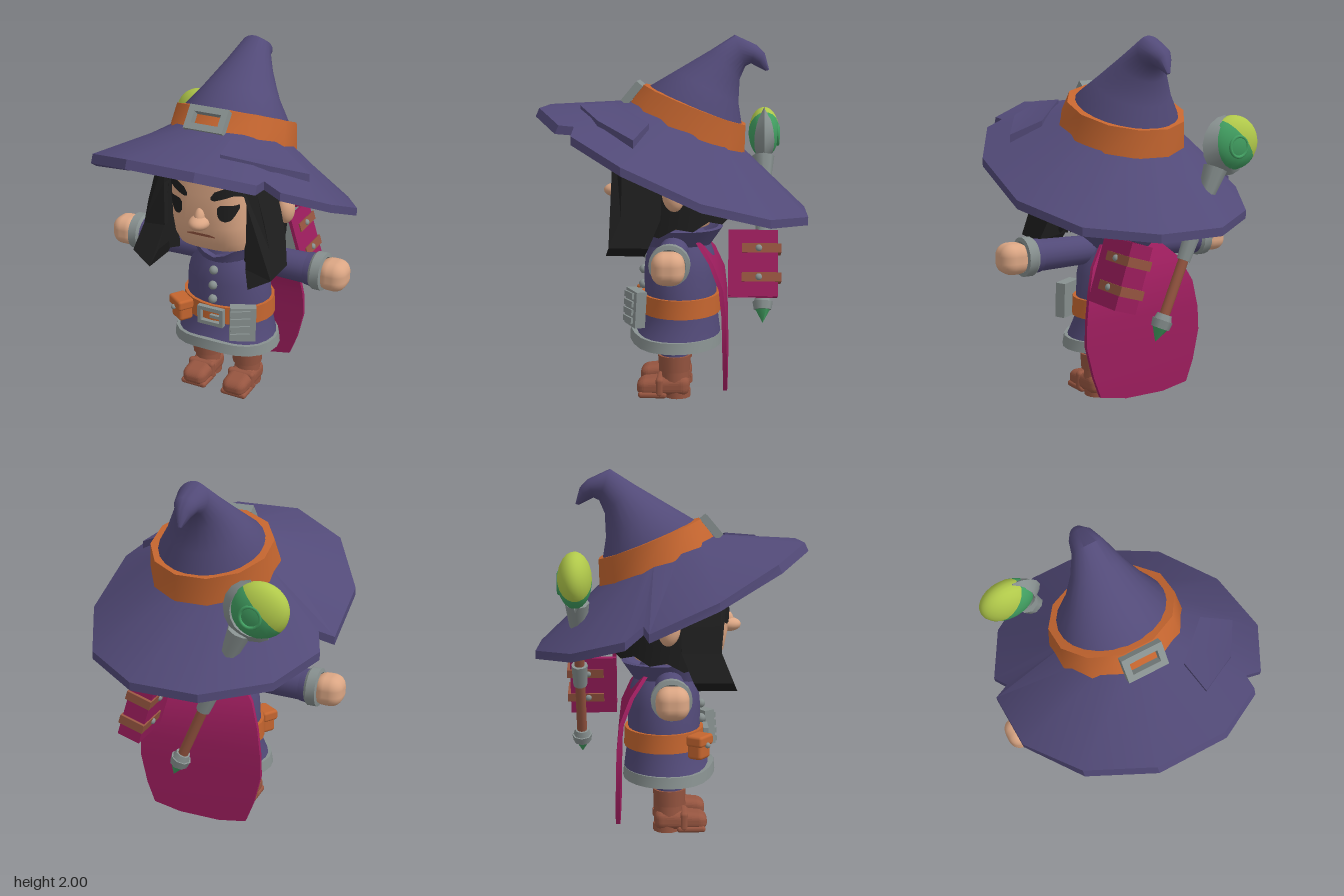
import * as THREE from 'three';
import { toCreasedNormals } from 'three/addons/utils/BufferGeometryUtils.js';
import { RoundedBoxGeometry } from 'three/addons/geometries/RoundedBoxGeometry.js';

const mat = (name, color, side = THREE.FrontSide) => {
  const m = new THREE.MeshStandardMaterial({ color, side });
  m.name = name;
  return m;
};
const V = (x, y, z) => new THREE.Vector3(x, y, z);

// Piecewise-linear lookup in a table of [key, value...] rows with rising keys
function lookup(table, k, col = 1) {
  if (k <= table[0][0]) return table[0][col];
  for (let i = 1; i < table.length; i++) {
    const a = table[i - 1], b = table[i];
    if (k <= b[0]) return a[col] + (b[col] - a[col]) * (k - a[0]) / (b[0] - a[0]);
  }
  return table[table.length - 1][col];
}

// Surface through closed loops of equal length, from bottom to top
function skin(loops, { caps = true, wrap = false, crease = 0.6 } = {}) {
  const pos = [], idx = [], n = loops[0].length, rows = loops.length;
  loops.forEach(l => l.forEach(p => pos.push(p.x, p.y, p.z)));
  for (let i = 0; i < (wrap ? rows : rows - 1); i++) for (let j = 0; j < n; j++) {
    const k = (j + 1) % n, r = i * n, q = ((i + 1) % rows) * n;
    idx.push(r + j, r + k, q + k, r + j, q + k, q + j);
  }
  if (caps && !wrap) [0, rows - 1].forEach(i => {
    const c = loops[i].reduce((s, p) => s.add(p), V(0, 0, 0)).divideScalar(n);
    const ci = pos.length / 3;
    pos.push(c.x, c.y, c.z);
    for (let j = 0; j < n; j++) {
      const a = i * n + j, b = i * n + (j + 1) % n;
      idx.push(ci, ...(i ? [a, b] : [b, a]));
    }
  });
  const g = new THREE.BufferGeometry();
  g.setAttribute('position', new THREE.Float32BufferAttribute(pos, 3));
  g.setIndex(idx);
  return toCreasedNormals(g, crease);
}

// Horizontal rings given as [y, rx, rz, cz]
const spow = (v, e) => Math.sign(v) * Math.abs(v) ** (2 / e);
const rings = (rows, n = 24, e = 2, dy = () => 0) => rows.map(([y, rx, rz, cz]) =>
  Array.from({ length: n }, (_, j) => {
    const a = j / n * Math.PI * 2;
    return V(rx * spow(Math.sin(a), e), y + dy(a), cz + rz * spow(Math.cos(a), e));
  }));
// Tilted rings given as [front z, front y, back z, back y, rx]
const tilted = (rows, n) => rows.map(([zf, yf, zb, yb, rx]) => Array.from({ length: n }, (_, j) => {
  const a = (j + 0.5) / n * Math.PI * 2, c = Math.cos(a) / 2;
  return V(rx * Math.sin(a), (yf + yb) / 2 + (yf - yb) * c, (zf + zb) / 2 + (zf - zb) * c);
}));
const shapeOf = (pts, s = 1) => new THREE.Shape(pts.map(([x, y]) => new THREE.Vector2(x * s, y)));
function frame(w, h, t, depth) {
  const box = (a, b) => [[-a, -b], [a, -b], [a, b], [-a, b]];
  const s = shapeOf(box(w / 2, h / 2));
  s.holes.push(shapeOf(box(w / 2 - t, h / 2 - t)));
  return new THREE.ExtrudeGeometry(s, { depth, bevelEnabled: false }).translate(0, 0, -depth / 2);
}
// Rounded shoe whose toe gets lower and narrower
function shoe(w, h, l) {
  const g = new RoundedBoxGeometry(w, h, l, 4, 0.045), p = g.attributes.position;
  for (let i = 0; i < p.count; i++) {
    const t = Math.max(0, p.getZ(i) / l + 0.05);
    p.setXYZ(i, p.getX(i) * (1 - 0.2 * t), (p.getY(i) + h / 2) * (1 - 0.5 * t) - h / 2, p.getZ(i));
  }
  g.computeVertexNormals();
  return g;
}

export function createModel() {
  const purple = mat('purple cloth', 0x524a78), orange = mat('orange leather', 0xc4652f);
  const grey = mat('grey metal', 0x87908f), flesh = mat('skin', 0xdba684);
  const black = mat('black hair', 0x1e1e1e, THREE.DoubleSide), brown = mat('brown leather', 0x965540);
  const magenta = mat('magenta cloth', 0x9c1d5d), lime = mat('lime glass', 0xb0c84a);
  const green = mat('green glass', 0x42a062);
  const root = new THREE.Group();
  const add = (name, geo, m, p = [0, 0, 0], r = [0, 0, 0], parent = root) => {
    const o = new THREE.Mesh(geo, m);
    o.name = name;
    o.position.set(...p);
    o.rotation.set(...r);
    parent.add(o);
    return o;
  };
  const group = (name, p, r = [0, 0, 0]) => {
    const g = new THREE.Group();
    g.name = name;
    g.position.set(...p);
    g.rotation.set(...r);
    root.add(g);
    return g;
  };
  const box = (x, y, z) => new THREE.BoxGeometry(x, y, z);
  const cyl = (a, b, h, n = 16) => new THREE.CylinderGeometry(a, b, h, n);
  const ball = (x, y, z) => new THREE.SphereGeometry(1, 20, 14).scale(x, y, z);

  // Robe, hem, belt and collar
  const wave = a => 0.035 * Math.max(0, Math.cos(a)) ** 5;
  add('robe', skin(rings([[0.33, 0.295, 0.25, -0.02], [0.45, 0.258, 0.212, -0.042], [0.57, 0.252, 0.203, -0.042],
    [0.7, 0.243, 0.203, -0.04], [0.8, 0.215, 0.19, -0.04], [0.88, 0.17, 0.16, -0.04], [0.95, 0.13, 0.13, -0.03]])), purple);
  add('hem', skin(rings([[0.285, 0.318, 0.26, -0.015], [0.345, 0.308, 0.254, -0.015]], 24, 2, wave)), grey);
  add('belt', skin(rings([[0.468, 0.274, 0.226, -0.042], [0.572, 0.27, 0.222, -0.042]])), orange);
  const dip = a => -0.08 * Math.max(0, Math.cos(a)) ** 8;
  add('collar', skin([...rings([[0.83, 0.17, 0.17, -0.03]]),
    ...rings([[0.945, 0.25, 0.22, -0.06], [0.95, 0.225, 0.195, -0.06]], 24, 2, dip),
    ...rings([[0.85, 0.13, 0.13, -0.03]])], { caps: false }), purple);
  [[0.785, 0.155], [0.695, 0.165], [0.61, 0.168]].forEach(([y, z]) =>
    add('button', new THREE.SphereGeometry(0.026, 12, 8), grey, [0, y, z]));
  add('beltBuckle', frame(0.16, 0.11, 0.022, 0.03), grey, [0, 0.513, 0.192]);
  add('beltPin', box(0.07, 0.018, 0.02), grey, [0.03, 0.513, 0.192]);
  const pouch = group('pouch', [-0.21, 0.505, 0.145], [0, -0.6, 0]);
  add('pouchBag', new RoundedBoxGeometry(0.11, 0.12, 0.09, 2, 0.02), orange, [0, -0.015, 0], [0, 0, 0], pouch);
  add('pouchFlap', new RoundedBoxGeometry(0.135, 0.06, 0.1, 2, 0.015), orange, [0, 0.03, 0.005], [0, 0, 0], pouch);
  add('pouchStud', new THREE.SphereGeometry(0.016, 10, 8), grey, [0, 0.005, 0.056], [0, 0, 0], pouch);
  const clasp = group('beltClasp', [0.2, 0.52, 0.195], [-0.06, 0.5, 0]);
  add('claspPlate', box(0.145, 0.2, 0.06), grey, [0, 0, 0], [0, 0, 0], clasp);
  for (let i = 0; i < 4; i++)
    add('claspBar', box(0.11, 0.032, 0.02), grey, [-0.015, 0.07 - i * 0.046, 0.032], [0, 0, 0.05], clasp);

  for (const s of [1, -1]) {
    // Arms, cuffs and hands
    const out = [0, 0, -s * Math.PI / 2];
    add('sleeve', cyl(0.088, 0.078, 0.42, 20), purple, [s * 0.34, 0.835, -0.015], out);
    add('sleeveEnd', cyl(0.097, 0.09, 0.05, 20), purple, [s * 0.52, 0.835, -0.015], out);
    const cuff = [[0.06, -0.03], [0.095, -0.035], [0.107, -0.02], [0.107, 0.03], [0.085, 0.035], [0.075, 0], [0.06, -0.03]];
    add('cuff', toCreasedNormals(new THREE.LatheGeometry(cuff.map(p => new THREE.Vector2(...p)), 20), 0.6), grey,
      [s * 0.565, 0.835, -0.015], out);
    add('hand', new RoundedBoxGeometry(0.165, 0.168, 0.17, 4, 0.066), flesh, [s * 0.648, 0.833, -0.012]);
    // Legs and boots
    const x = s * 0.13;
    add('leg', cyl(0.08, 0.078, 0.16), purple, [x, 0.28, -0.015]);
    add('bootCuff', cyl(0.092, 0.086, 0.09), brown, [x, 0.195, -0.015]);
    add('bootShaft', cyl(0.073, 0.078, 0.12), brown, [x, 0.11, -0.02]);
    add('bootFoot', shoe(0.16, 0.115, 0.295), brown, [x, 0.068, 0.047]);
    add('bootStrap', new RoundedBoxGeometry(0.166, 0.11, 0.045, 2, 0.02), brown, [x, 0.062, 0.065]);
    add('bootSole', new RoundedBoxGeometry(0.16, 0.035, 0.16, 3, 0.016), brown, [x, 0.018, 0.105]);
    add('bootHeel', cyl(0.076, 0.076, 0.04), brown, [x, 0.02, -0.03]);
  }

  // Head: squarish rounded rings, [y, rx, rz, cz]
  const headRows = [[0.95, 0.185, 0.19, 0.02], [0.965, 0.22, 0.23, 0.025], [1.02, 0.236, 0.264, 0.025],
    [1.12, 0.243, 0.28, 0.03], [1.3, 0.245, 0.285, 0.03], [1.48, 0.235, 0.27, 0.03]];
  add('head', skin(rings(headRows, 48, 3)), flesh);
  add('nose', ball(0.057, 0.04, 0.07), flesh, [0, 1.145, 0.318]);
  add('noseBridge', ball(0.03, 0.055, 0.035), flesh, [0, 1.175, 0.312], [-0.3, 0, 0]);
  // Thin face details follow the curve of the head; rows are [x, low y, high y]
  const faceZ = (x, y) => {
    const [rx, rz, cz] = [1, 2, 3].map(c => lookup(headRows, y, c));
    return cz + rz * Math.max(0, 1 - Math.abs(x / rx) ** 3) ** (1 / 3);
  };
  const decal = (name, rows, m, s) => {
    const g = new THREE.PlaneGeometry(1, 1, 16, 3), p = g.attributes.position;
    const x0 = rows[0][0], w = rows[rows.length - 1][0] - x0;
    for (let i = 0; i < p.count; i++) {
      const x = x0 + w * (0.5 + s * p.getX(i)), low = lookup(rows, x, 1);
      const y = low + (lookup(rows, x, 2) - low) * (p.getY(i) + 0.5);
      p.setXYZ(i, s * x, y, faceZ(x, y) + 0.009);
    }
    g.computeVertexNormals();
    add(name, g, m);
  };
  const lock = [[0, 1.56], [0.2, 1.5], [0.3, 1.36], [0.35, 1.18], [0.38, 1.04], [0.42, 0.89], [0.3, 0.825], [0.265, 0.92],
    [0.25, 1.05], [0.248, 1.3], [0.235, 1.38], [0.19, 1.445], [0.1, 1.47], [0, 1.44]];
  for (const s of [1, -1]) {
    decal('eye', [[0.105, 1.2, 1.245], [0.12, 1.175, 1.262], [0.145, 1.167, 1.265], [0.17, 1.175, 1.263],
      [0.187, 1.2, 1.262], [0.205, 1.24, 1.265]], black, s);
    decal('eyebrow', [[0.07, 1.29, 1.305], [0.09, 1.285, 1.335], [0.13, 1.298, 1.353], [0.18, 1.315, 1.365],
      [0.21, 1.308, 1.35], [0.232, 1.285, 1.305]], black, s);
    decal('mouth', [[0, 1.063, 1.079], [0.05, 1.063, 1.079], [0.085, 1.063, 1.069]], brown, s);
    add('ear', ball(0.05, 0.085, 0.058), flesh, [s * 0.35, 1.16, -0.02], [0.15, 0, 0]);
    // Front locks step back beside the face and swing forward at the ends
    const g = new THREE.ExtrudeGeometry(shapeOf(lock, s), { depth: 0.21, bevelEnabled: false });
    const p = g.attributes.position;
    for (let i = 0; i < p.count; i++) {
      const x = Math.abs(p.getX(i)), y = p.getY(i);
      p.setZ(i, p.getZ(i) + 0.12 - 1.1 * Math.max(0, Math.min(x, 0.25) - 0.18) + 0.45 * Math.max(0, 1.03 - y));
    }
    g.computeVertexNormals();
    add('frontLock', g, black);
  }
  // Back hair: an open shell with a jagged lower edge
  const N = 19, hairRows = [[0, 0.325, 0.36], [0.4, 0.34, 0.365], [0.75, 0.32, 0.345], [1, 0.26, 0.29]];
  const hairPoint = (j, t, k) => {
    const a = (48 + 264 * j / (N - 1)) * Math.PI / 180;
    const low = 0.94 + 0.07 * Math.max(0, -Math.cos(a)) - 0.06 * Math.max(0, Math.cos(a)) + (j % 2) * 0.035;
    return V(lookup(hairRows, t, 1) * k * Math.sin(a), low + (1.5 - low) * t, -0.02 + lookup(hairRows, t, 2) * k * Math.cos(a));
  };
  add('backHair', skin([0, 0.2, 0.4, 0.75, 1].map(t => [
    ...Array.from({ length: N }, (_, j) => hairPoint(j, t, 1)),
    ...Array.from({ length: N }, (_, j) => hairPoint(N - 1 - j, t, 0.82))]), { caps: false }), black);

  // Hat brim: notched outline [x, z, own y], high in front and drooping behind
  const outline = [[-0.19, 0.73], [0.19, 0.73], [0.45, 0.585], [0.45, 0.485, 1.53], [0.54, 0.49], [0.7, 0.22], [0.7, -0.18],
    [0.52, -0.53], [0.19, -0.74], [-0.19, -0.74], [-0.51, -0.53], [-0.66, -0.25], [-0.62, -0.157, 1.222], [-0.7, -0.13],
    [-0.7, 0.22], [-0.51, 0.55]];
  const rimY = z => lookup([[-0.74, 1.03], [-0.53, 1.065], [-0.18, 1.17], [0.22, 1.35], [0.55, 1.52], [0.73, 1.61]], z);
  const innerAt = (x, z) => {
    const a = Math.atan2(x, z + 0.08), iz = -0.08 + 0.3 * Math.cos(a);
    return V(0.33 * Math.sin(a), 1.645 + (iz - 0.22) * 0.43, iz);
  };
  const outer = outline.map(([x, z, y = rimY(z)]) => V(x, y, z));
  const inner = outline.map(([x, z]) => innerAt(x, z));
  const drop = (p, d) => V(p.x, p.y - d, p.z);
  const upper = outer.map(p => V(p.x, p.y, p.z - (p.z > 0.5 ? 0.02 : 0)));
  add('hatBrim', skin([inner.map(p => drop(p, 0.05)), outer.map(p => drop(p, 0.045)), upper, inner], { wrap: true, crease: 0.5 }), purple);
  // Sewn patch lying on the brim
  const brimY = (x, z) => {
    const i = innerAt(x, z), a = Math.atan2(x, z + 0.08), oz = 0.75 * Math.cos(a) - 0.03;
    const ri = Math.hypot(i.x, i.z + 0.08), t = (Math.hypot(x, z + 0.08) - ri) / (0.77 - ri);
    return i.y + (rimY(oz) - i.y) * t;
  };
  const patch = [[0.21, 0.485], [0.43, 0.365], [0.56, 0.17], [0.4, 0.1], [0.18, 0.31]];
  add('brimPatch', skin([-0.02, 0.026].map(d => patch.map(([x, z]) => V(x, brimY(x, z) + d, z)))), purple);
  // Hat cone with a curled tip, band and buckle
  add('hatCone', skin(tilted([[0.2, 1.62, -0.38, 1.37, 0.32], [0.135, 1.72, -0.38, 1.51, 0.295], [-0.02, 1.81, -0.36, 1.63, 0.215],
    [-0.2, 1.915, -0.365, 1.76, 0.138], [-0.335, 2, -0.395, 1.83, 0.088], [-0.455, 1.945, -0.425, 1.845, 0.066],
    [-0.5, 1.9, -0.455, 1.83, 0.042], [-0.525, 1.81, -0.505, 1.805, 0.01]], 24), { crease: 0.9 }), purple);
  add('hatBand', skin(tilted([[0.25, 1.625, -0.405, 1.355, 0.358], [0.165, 1.735, -0.408, 1.51, 0.338],
    [0.12, 1.725, -0.37, 1.52, 0.29]], 12), { caps: false }), orange);
  add('hatBuckle', frame(0.225, 0.135, 0.035, 0.045), grey, [0, 1.686, 0.218], [-0.7, 0, 0]);

  // Cape: thin curved sheet, [y, half width, z]
  const capeRows = [[0.05, 0.12, -0.3], [0.08, 0.28, -0.3], [0.2, 0.325, -0.3], [0.37, 0.365, -0.295], [0.5, 0.36, -0.292],
    [0.65, 0.335, -0.275], [0.78, 0.28, -0.22], [0.88, 0.18, -0.145]];
  add('cape', skin(capeRows.map(([y, w, z]) => [V(-w, y, z + 0.012), V(0, y, z + 0.012), V(w, y, z + 0.012),
    V(w, y, z - 0.012), V(0, y, z - 0.012), V(-w, y, z - 0.012)])), magenta);

  // Strapped book behind the shoulder, spine outwards
  const book = group('book', [0.245, 0.78, -0.445], [0, 0, 0.3]);
  const part = (name, g, m, ...p) => add(name, g, m, p, [0, 0, 0], book);
  part('bookPages', box(0.1, 0.31, 0.23), grey, 0, 0, -0.005);
  for (const s of [1, -1]) part('bookCover', box(0.02, 0.355, 0.265), magenta, s * 0.055, 0, 0);
  part('bookSpine', box(0.12, 0.355, 0.025), magenta, 0, 0, -0.12);
  for (const y of [0.08, -0.075]) {
    part('bookStrap', box(0.145, 0.05, 0.21), brown, 0, y, -0.045);
    for (const s of [1, -1]) part('bookStud', ball(0.014, 0.018, 0.018), grey, s * 0.073, y, -0.03);
  }

  // Slanted staff; local y runs up the shaft
  const staff = group('staff', [-0.12, 0.84, -0.505], [0, 0, 0.4]);
  const bit = (name, g, m, y) => add(name, g, m, [0, y, 0], [0, 0, 0], staff);
  bit('staffShaft', cyl(0.028, 0.028, 0.82, 12), brown, 0.03);
  bit('staffGrip', cyl(0.045, 0.038, 0.13, 10), grey, 0.05);
  bit('staffFoot', cyl(0.057, 0.05, 0.045, 8), grey, -0.372);
  bit('staffFootRing', cyl(0.04, 0.05, 0.035, 8), grey, -0.335);
  bit('staffTip', new THREE.ConeGeometry(0.046, 0.085, 6).rotateX(Math.PI), green, -0.428);
  bit('staffNeck', cyl(0.065, 0.045, 0.15, 8), grey, 0.43);
  // Two-coloured egg-shaped orb held by a crescent
  const orb = group('orb', [-0.425, 1.435, -0.51]);
  const pole = new THREE.Quaternion().setFromUnitVectors(V(0, 1, 0), V(-0.75, 0.65, 0.08).normalize());
  const half = (name, m, start, len) => add(name, new THREE.SphereGeometry(1, 20, 10, 0, Math.PI * 2, start, len)
    .applyQuaternion(pole).scale(0.155, 0.148, 0.09), m, [0, 0, 0], [0, 0, 0], orb);
  half('orbTop', lime, 0, 1.45);
  half('orbBase', green, 1.45, Math.PI - 1.45);
  add('orbRing', new THREE.TorusGeometry(0.055, 0.009, 8, 20), green, [0.02, -0.015, -0.082], [0, 0, 0], orb);
  const arc = Array.from({ length: 11 }, (_, i) => {
    const a = -1.9 + 3.15 * i / 10, w = Math.sin(Math.PI * (0.03 + 0.94 * i / 10));
    const at = (r, z) => V(Math.cos(a) * r, Math.sin(a) * r, z);
    return [at(0.14, 0.058 * w), at(0.155 + 0.045 * w, 0), at(0.14, -0.058 * w), at(0.13, 0)];
  });
  add('orbCrescent', skin(arc), grey, [0, 0, 0], [0, 0, 0], orb);
  return root;
}
